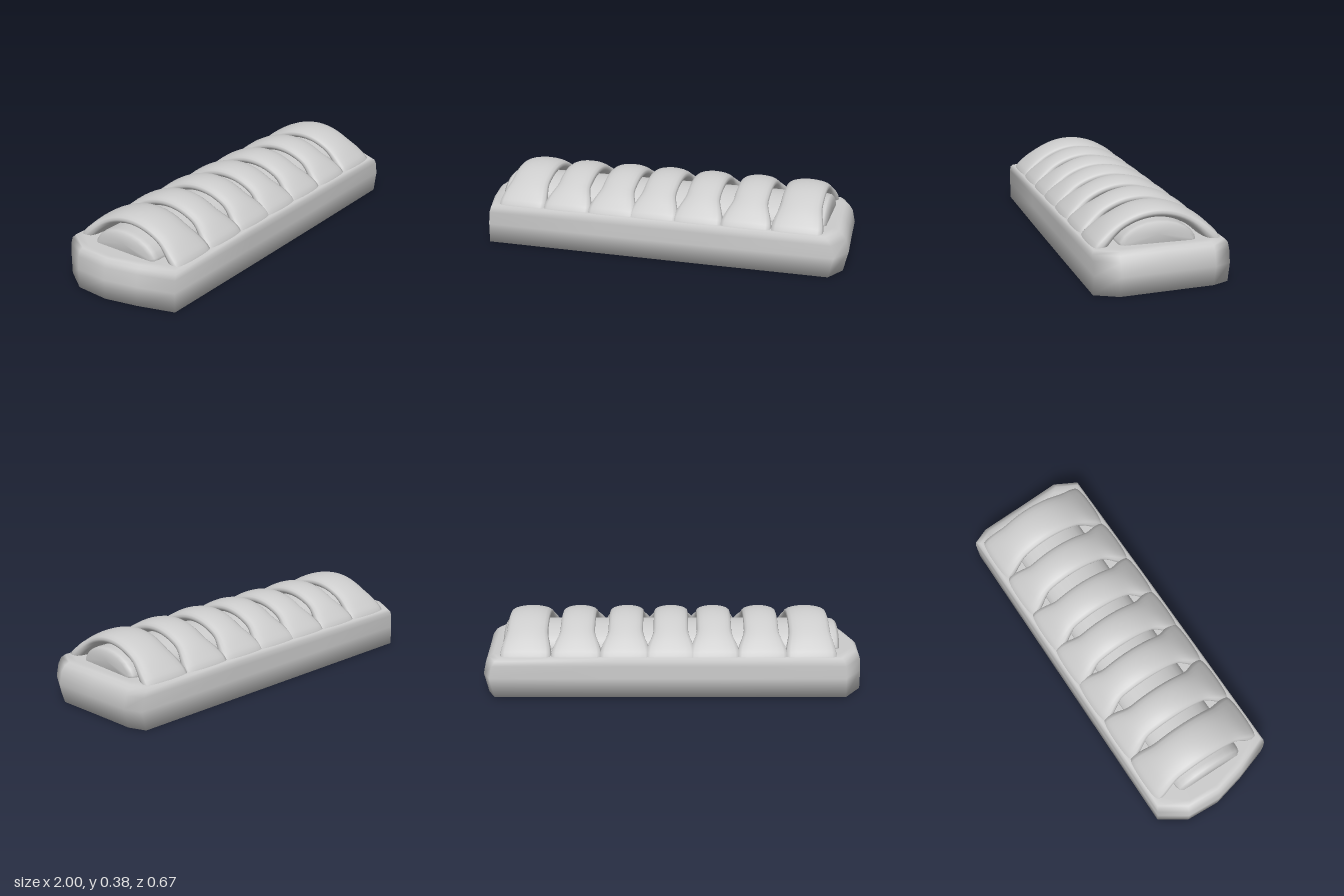
import * as THREE from 'three';

const material = new THREE.MeshStandardMaterial({ color: 0xcccccc });

// Skins a list of rings (counter-clockwise about the direction of travel), with capped ends
function loft(rings) {
  const n = rings[0].length;
  const pos = rings.flat(2);
  const index = [];
  for (let i = 0; i < rings.length - 1; i++) {
    for (let j = 0; j < n; j++) {
      const k = (j + 1) % n;
      const a = i * n + j, b = i * n + k;
      index.push(a, b, b + n, a, b + n, a + n);
    }
  }
  [0, rings.length - 1].forEach((r, end) => {
    const centre = [0, 1, 2].map(c => rings[r].reduce((s, p) => s + p[c], 0) / n);
    const id = pos.length / 3;
    pos.push(...centre);
    for (let j = 0; j < n; j++) {
      const a = r * n + j, b = r * n + (j + 1) % n;
      if (end) index.push(id, a, b);
      else index.push(id, b, a);
    }
  });
  const geometry = new THREE.BufferGeometry();
  geometry.setAttribute('position', new THREE.Float32BufferAttribute(pos, 3));
  geometry.setIndex(index);
  geometry.computeVertexNormals();
  return geometry;
}

function part(name, geometry) {
  const mesh = new THREE.Mesh(geometry, material);
  mesh.name = name;
  return mesh;
}

// Long dough base with uneven, pinched ends
function makeBase() {
  const outline = [[-0.9, 0.333], [-0.3, 0.335], [0.3, 0.335], [0.94, 0.333], [1, 0.22], [0.985, 0],
    [0.97, -0.25], [0.93, -0.335], [0.3, -0.335], [-0.3, -0.335], [-0.9, -0.335], [-0.99, -0.2], [-1, -0.02], [-0.96, 0.15]];
  // height, scale of the right end, scale of the left end, scale in z
  const levels = [[0, 0.975, 1, 1], [0.1, 1, 1, 1], [0.165, 0.985, 0.995, 1],
    [0.192, 0.965, 0.985, 0.998], [0.206, 0.945, 0.97, 0.965], [0.21, 0.92, 0.95, 0.83]];
  return loft(levels.map(([y, right, left, sz]) =>
    outline.map(([x, z]) => [x * (x > 0 ? right : left), y, z * sz])));
}

// Rounded filling log lying along the base
function makeFilling() {
  const stations = [[-0.88, 0.88], [-0.865, 0.97], [-0.84, 1], [0.84, 1], [0.86, 0.97], [0.875, 0.88]];
  return loft(stations.map(([x, s]) => {
    const ring = [];
    for (let j = 0; j <= 12; j++) {
      const t = Math.PI * j / 12;
      ring.push([x, 0.19 + 0.122 * Math.sin(t) * s, -0.195 * Math.cos(t) * s]);
    }
    return ring;
  }));
}

// Dough strap arching over the filling; its flat, wide feet sink into the base
function makeStrap(halfWidth) {
  const half = [[0.265, 0.13], [0.291, 0.185], [0.25, 0.237], [0.18, 0.292], [0.09, 0.333]];
  const points = [...half, [0, 0.346], ...half.slice().reverse().map(([z, y]) => [-z, y])];
  const curve = new THREE.CatmullRomCurve3(points.map(([z, y]) => new THREE.Vector3(0, y, z)));
  const rings = [];
  for (let i = 0; i <= 40; i++) {
    const p = curve.getPoint(i / 40), d = curve.getTangent(i / 40);
    const foot = p.y < 0.19 ? 1 : THREE.MathUtils.smoothstep(Math.abs(p.z), 0.16, 0.29);
    const w = THREE.MathUtils.lerp(halfWidth, 0.132, foot);
    const flatness = THREE.MathUtils.lerp(0.9, 0.45, foot);
    const ring = [];
    for (let j = 0; j < 20; j++) {
      const t = Math.PI * 2 * j / 20, s = Math.sin(t);
      const v = 0.034 * Math.sign(s) * Math.abs(s) ** flatness;
      ring.push([-w * Math.cos(t), p.y - d.z * v, p.z + d.y * v]);
    }
    rings.push(ring);
  }
  return loft(rings);
}

export function createModel() {
  const group = new THREE.Group();
  group.name = 'lattice pastry';
  group.add(part('doughBase', makeBase()), part('filling', makeFilling()));

  // Seven straps, the two end ones a little wider
  [-0.72, -0.47, -0.225, 0, 0.235, 0.485, 0.745].forEach((x, i) => {
    const strap = part('doughStrap' + (i + 1), makeStrap(i % 6 === 0 ? 0.107 : 0.09));
    strap.position.x = x;
    group.add(strap);
  });
  return group;
}
